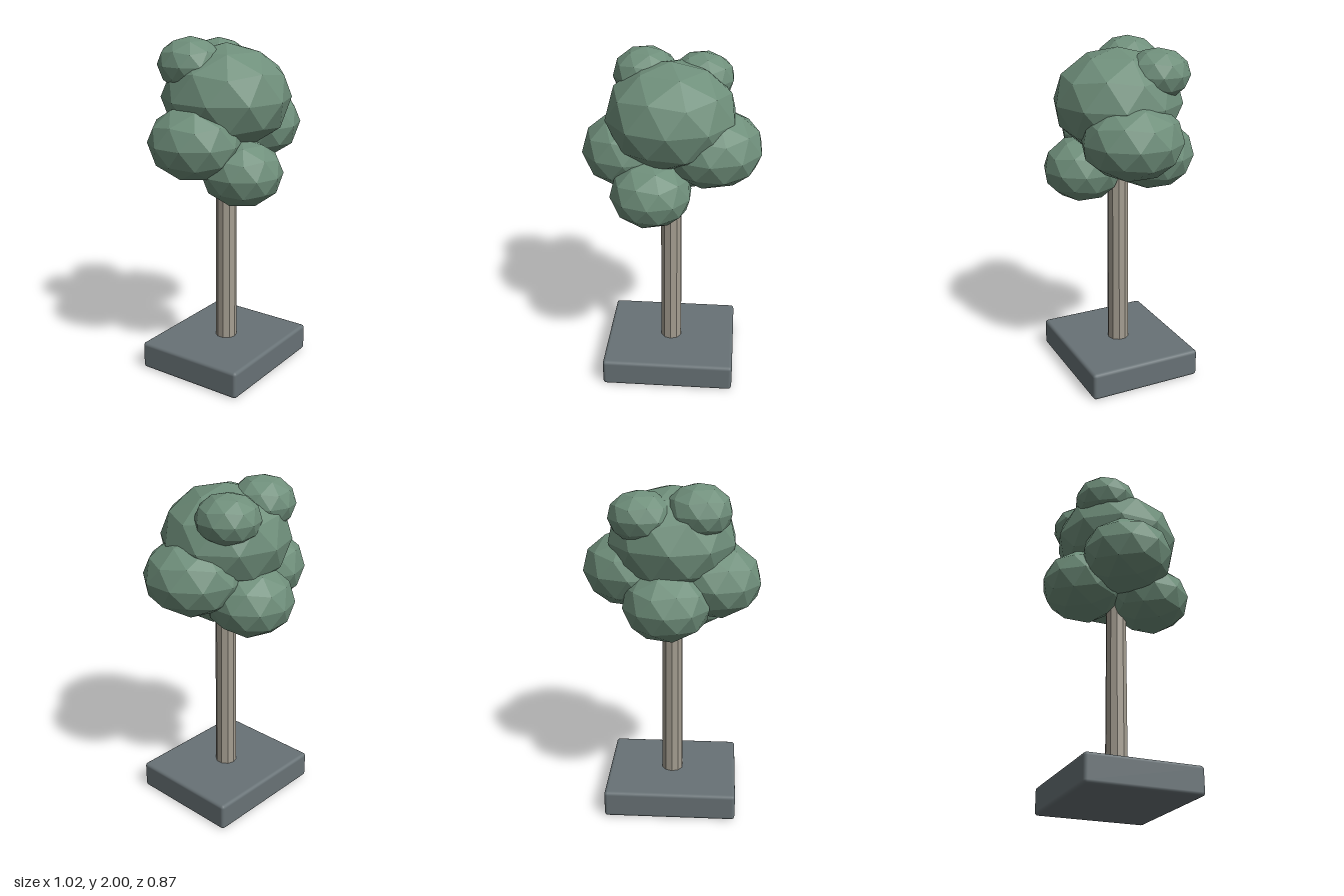
import * as THREE from 'three';
import { RoundedBoxGeometry } from 'three/addons/geometries/RoundedBoxGeometry.js';

function material(name, color, flatShading = false) {
  const m = new THREE.MeshStandardMaterial({ color, flatShading });
  m.name = name;
  return m;
}

export function createModel() {
  const group = new THREE.Group();
  group.name = 'tree';
  const leafGreen = material('leafGreen', 0x6f8f7b, true);
  const barkGrey = material('barkGrey', 0xa59e91, true);
  const slateGrey = material('slateGrey', 0x687276);

  const add = (name, geometry, mat, x, y, z) => {
    const mesh = new THREE.Mesh(geometry, mat);
    mesh.name = name;
    mesh.position.set(x, y, z);
    group.add(mesh);
    return mesh;
  };

  // Base slab with softened edges
  add('base', new RoundedBoxGeometry(0.79, 0.165, 0.684, 2, 0.02), slateGrey, -0.005, 0.0825, 0.02);

  // Slim trunk running up into the crown
  add('trunk', new THREE.CylinderGeometry(0.06, 0.065, 1.4, 10), barkGrey, -0.004, 0.84, 0.022);

  // Faceted ball turned so one corner points straight up
  const ball = new THREE.IcosahedronGeometry(1, 1);
  ball.rotateZ(-Math.atan2(1, (1 + Math.sqrt(5)) / 2));

  // Foliage clumps: name, centre x y z, horizontal radius, vertical radius
  const clumps = [
    ['foliageMain', -0.005, 1.655, 0.022, 0.375, 0.305],
    ['foliageRight', -0.253, 1.43, -0.015, 0.27, 0.22],
    ['foliageLeft', 0.228, 1.477, 0.043, 0.292, 0.225],
    ['foliageFront', -0.105, 1.255, 0.2, 0.235, 0.194],
    ['foliageBack', 0.017, 1.33, -0.184, 0.255, 0.209],
    ['foliageTopRight', -0.157, 1.845, -0.115, 0.189, 0.155],
    ['foliageTopLeft', 0.16, 1.822, -0.148, 0.184, 0.144],
  ];
  for (const [name, x, y, z, r, h] of clumps) {
    add(name, ball, leafGreen, x, y, z).scale.set(r, h, r);
  }
  return group;
}
